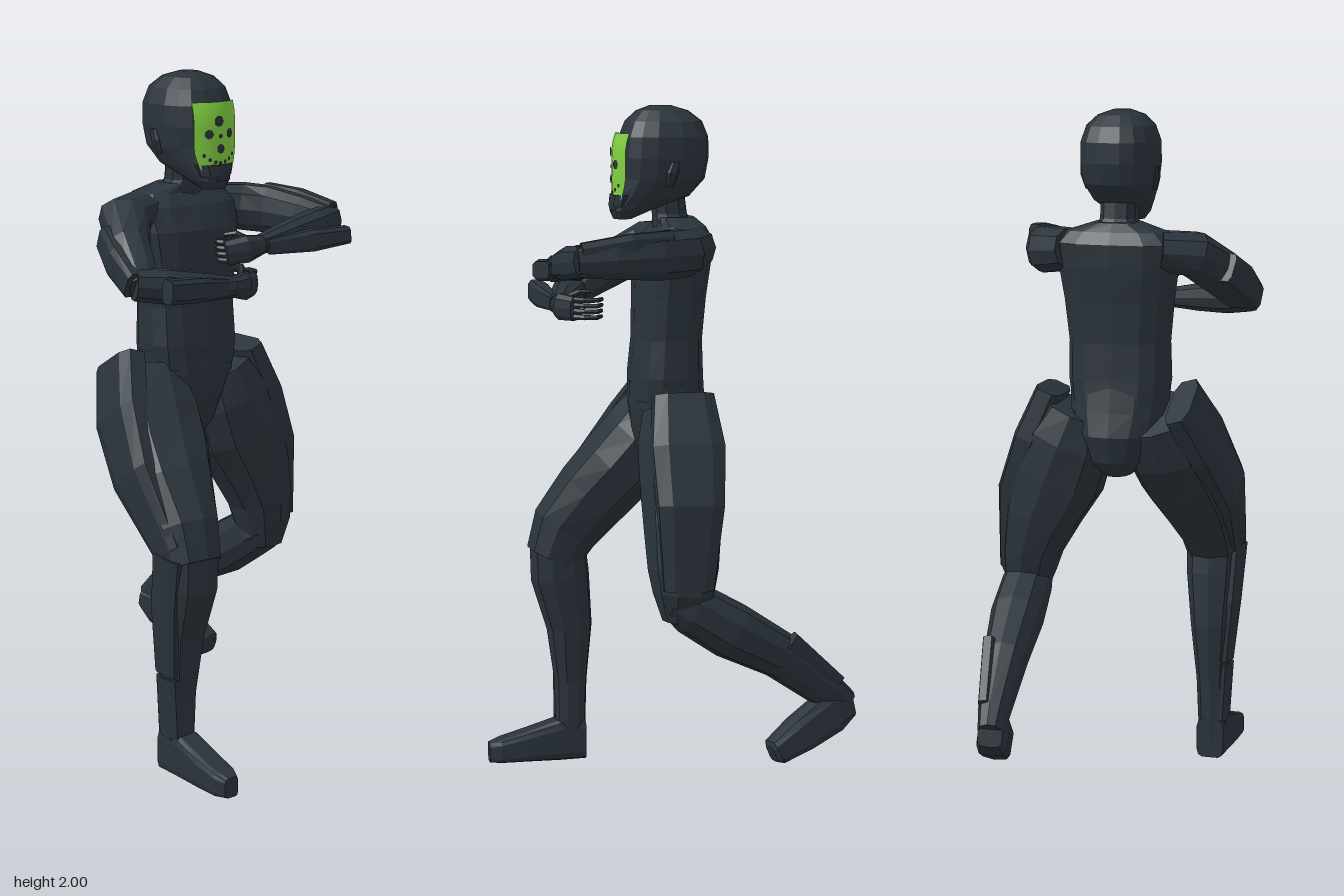
import * as THREE from 'three';

const suit = new THREE.MeshStandardMaterial({ color: 0x2a333b, flatShading: true });
suit.name = 'dark suit';
const green = new THREE.MeshStandardMaterial({ color: 0x82cf42, side: THREE.DoubleSide });
green.name = 'visor green';

const V = (a) => new THREE.Vector3(a[0], a[1], a[2]);
const X = [1, 0, 0], Y = [0, 1, 0], Z = [0, 0, 1];

// Closed skin over rounded sections [x, y, z, half size along ref, half size across]
function loft(name, rows, ref, { sides = 10, power = 2.3, dir = null } = {}) {
  const pos = [], idx = [], n = rows.length;
  const round = (c) => Math.sign(c) * Math.pow(Math.abs(c), 2 / power);
  rows.forEach((row, j) => {
    const c = V(row);
    const t = dir ? V(dir) : V(rows[Math.min(j + 1, n - 1)]).sub(V(rows[Math.max(j - 1, 0)])).normalize();
    const u = V(ref).addScaledVector(t, -V(ref).dot(t)).normalize();
    const v = t.clone().cross(u);
    for (let i = 0; i < sides; i++) {
      const a = ((i + 0.5) / sides) * Math.PI * 2;
      const p = c.clone().addScaledVector(u, row[3] * round(Math.cos(a))).addScaledVector(v, row[4] * round(Math.sin(a)));
      pos.push(p.x, p.y, p.z);
    }
  });
  for (let j = 0; j < n - 1; j++) {
    for (let i = 0; i < sides; i++) {
      const k = (i + 1) % sides, a = j * sides, b = a + sides;
      idx.push(a + i, a + k, b + k, a + i, b + k, b + i);
    }
  }
  const first = n * sides, last = (n - 1) * sides;
  pos.push(...rows[0].slice(0, 3), ...rows[n - 1].slice(0, 3));
  for (let i = 0; i < sides; i++) {
    const k = (i + 1) % sides;
    idx.push(first, k, i, first + 1, last + i, last + k);
  }
  const g = new THREE.BufferGeometry();
  g.setAttribute('position', new THREE.Float32BufferAttribute(pos, 3));
  g.setIndex(idx);
  g.computeVertexNormals();
  const mesh = new THREE.Mesh(g, suit);
  mesh.name = name;
  return mesh;
}

// Four bent fingers, stacked in height
function fingers(name, path, y, step) {
  const group = new THREE.Group();
  group.name = name;
  for (let i = 0; i < 4; i++) {
    const pts = path.map(([x, z], j) => [x - (j ? i * step : 0), y - i * 0.017, z, 0.009 - j * 0.001, 0.01 - j * 0.0015]);
    group.add(loft('finger', pts, Y, { sides: 6 }));
  }
  return group;
}

// Depth of the curved face plate
const visorZ = (x, y) => 0.169 - 4.4 * x * x - 3 * Math.max(0, y - 1.86) ** 2;

function makeHead() {
  const head = new THREE.Group();
  head.name = 'head';
  head.add(loft('hood', [
    [0, 1.675, 0.14, 0.035, 0.025], [0, 1.7, 0.115, 0.058, 0.06], [0, 1.74, 0.055, 0.083, 0.11],
    [0, 1.79, 0.025, 0.104, 0.125], [0, 1.85, 0.02, 0.113, 0.131], [0, 1.91, 0.018, 0.112, 0.128],
    [0, 1.955, 0.018, 0.097, 0.11], [0, 1.985, 0.022, 0.066, 0.075], [0, 2.0, 0.027, 0.025, 0.03],
  ], X, { sides: 16, power: 2.6, dir: Y }));
  head.add(loft('chinGuard', [
    [0, 1.685, 0.14, 0.038, 0.03], [0, 1.715, 0.137, 0.058, 0.043], [0, 1.745, 0.13, 0.068, 0.046],
  ], X, { dir: Y }));
  for (const s of [-1, 1]) {
    head.add(loft('earPiece', [
      [s * 0.1, 1.77, 0.02, 0.008, 0.01], [s * 0.109, 1.81, 0.012, 0.01, 0.018], [s * 0.112, 1.84, 0.005, 0.006, 0.012],
    ], X, { sides: 6, dir: Y }));
  }
  // Curved face plate, narrowing to the chin
  const plate = new THREE.PlaneGeometry(0.15, 0.19, 8, 8);
  const p = plate.attributes.position;
  for (let i = 0; i < p.count; i++) {
    const y = p.getY(i) + 1.826;
    const x = p.getX(i) * (1 - 0.25 * Math.max(0, (1.8 - y) / 0.07) ** 2);
    p.setXYZ(i, x, y, visorZ(x, y));
  }
  plate.computeVertexNormals();
  const visor = new THREE.Mesh(plate, green);
  visor.name = 'visor';
  head.add(visor);
  // Dark openings in the face plate
  const spots = [[-0.006, 1.868, 0.016], [-0.037, 1.832, 0.014], [0.036, 1.832, 0.014], [0, 1.826, 0.007], [0, 1.79, 0.014]];
  for (let i = -3; i <= 3; i++) spots.push([i * 0.017, 1.75 + 0.0025 * i * i, 0.006]);
  for (const [x, y, r] of spots) {
    const spot = new THREE.Mesh(new THREE.CircleGeometry(r, 7), suit);
    spot.position.set(x, y, visorZ(x, y) + 0.003);
    spot.rotation.y = Math.atan(8.8 * x);
    spot.name = 'visorSpot';
    head.add(spot);
  }
  return head;
}

export function createModel() {
  const model = new THREE.Group();
  model.name = 'fighter';
  const add = (...args) => model.add(loft(...args));

  // Trunk
  add('torso', [
    [0, 1.15, 0.012, 0.14, 0.108], [0, 1.22, 0.014, 0.15, 0.104], [0, 1.33, 0.01, 0.148, 0.096],
    [0, 1.45, 0.004, 0.16, 0.1], [0, 1.55, -0.004, 0.175, 0.105], [0, 1.62, -0.02, 0.185, 0.092],
    [0, 1.655, -0.025, 0.15, 0.07], [0, 1.68, -0.015, 0.07, 0.055],
  ], X, { sides: 14, power: 2.8, dir: Y });
  add('pelvis', [
    [0, 0.935, 0.0, 0.04, 0.065], [0, 0.98, -0.005, 0.085, 0.098], [0, 1.06, -0.005, 0.125, 0.118],
    [0, 1.13, 0.008, 0.145, 0.114], [0, 1.2, 0.014, 0.149, 0.106],
  ], X, { sides: 14, dir: Y });
  add('neck', [[0, 1.64, -0.01, 0.075, 0.06], [0, 1.69, 0, 0.055, 0.052], [0, 1.78, 0.01, 0.055, 0.05]], X, { dir: Y });
  model.add(makeHead());

  // Right leg, stepping forward
  add('rightThigh', [
    [-0.12, 1.12, -0.015, 0.1, 0.105], [-0.148, 1.02, 0.045, 0.138, 0.125], [-0.175, 0.93, 0.115, 0.145, 0.125],
    [-0.2, 0.84, 0.19, 0.128, 0.12], [-0.217, 0.73, 0.275, 0.1, 0.108], [-0.22, 0.64, 0.315, 0.088, 0.085],
  ], X);
  add('rightThighPanel', [
    [-0.2, 1.165, -0.04, 0.042, 0.1], [-0.255, 1.03, 0.04, 0.045, 0.11],
    [-0.29, 0.88, 0.155, 0.045, 0.095], [-0.275, 0.68, 0.3, 0.035, 0.06],
  ], X, { sides: 8, power: 3.5 });
  add('rightShin', [
    [-0.22, 0.68, 0.3, 0.088, 0.085], [-0.22, 0.58, 0.293, 0.085, 0.09], [-0.222, 0.42, 0.265, 0.067, 0.07],
    [-0.224, 0.25, 0.262, 0.05, 0.05], [-0.226, 0.05, 0.263, 0.043, 0.045],
  ], X);
  add('rightShinPanel', [
    [-0.285, 0.675, 0.3, 0.028, 0.06], [-0.278, 0.5, 0.275, 0.024, 0.055], [-0.265, 0.31, 0.263, 0.018, 0.045],
  ], X, { sides: 8, power: 3.5 });
  add('rightAnkleGuard', [[-0.258, 0.3, 0.265, 0.025, 0.045], [-0.25, 0.12, 0.265, 0.022, 0.045]], X, { sides: 8, power: 4 });
  add('rightFoot', [
    [-0.226, 0.065, 0.22, 0.043, 0.062], [-0.226, 0.066, 0.3, 0.045, 0.064],
    [-0.23, 0.05, 0.4, 0.044, 0.048], [-0.232, 0.038, 0.48, 0.04, 0.037], [-0.232, 0.033, 0.515, 0.024, 0.03],
  ], X, { sides: 12, power: 5, dir: Z });

  // Left leg, knee bent and foot kicked back
  add('leftThigh', [
    [0.12, 1.12, 0, 0.1, 0.105], [0.155, 1.03, 0.005, 0.138, 0.122], [0.2, 0.92, 0.01, 0.15, 0.12],
    [0.248, 0.8, 0.015, 0.122, 0.114], [0.28, 0.69, 0.02, 0.092, 0.104],
    [0.29, 0.62, 0.022, 0.08, 0.09], [0.293, 0.54, 0.035, 0.05, 0.05],
  ], X);
  add('leftThighPanel', [
    [0.205, 1.18, 0.005, 0.04, 0.09], [0.265, 1.04, 0.005, 0.045, 0.11],
    [0.32, 0.88, 0.01, 0.045, 0.1], [0.338, 0.64, 0.02, 0.032, 0.075],
  ], X, { sides: 8, power: 3.5 });
  add('leftShin', [
    [0.292, 0.605, 0.06, 0.062, 0.05], [0.29, 0.58, 0.0, 0.074, 0.078], [0.282, 0.505, -0.12, 0.078, 0.084],
    [0.266, 0.42, -0.27, 0.064, 0.07], [0.25, 0.3, -0.42, 0.045, 0.055], [0.242, 0.255, -0.475, 0.036, 0.045],
  ], X);
  add('leftAnkleGuard', [[0.308, 0.45, -0.27, 0.02, 0.06], [0.27, 0.31, -0.43, 0.018, 0.05]], X, { sides: 8, power: 4 });
  add('leftFoot', [
    [0.238, 0.252, -0.492, 0.036, 0.032], [0.25, 0.238, -0.43, 0.046, 0.064],
    [0.275, 0.182, -0.33, 0.046, 0.054], [0.298, 0.139, -0.25, 0.038, 0.038], [0.3, 0.135, -0.24, 0.028, 0.026],
  ], X, { power: 4 });

  // Right arm, folded low across the chest
  add('rightUpperArm', [
    [-0.13, 1.6, -0.025, 0.06, 0.08], [-0.22, 1.59, 0.01, 0.068, 0.075], [-0.28, 1.525, 0.11, 0.068, 0.062],
    [-0.315, 1.46, 0.2, 0.055, 0.055], [-0.325, 1.44, 0.235, 0.035, 0.04],
  ], Y);
  add('rightArmPanel', [[-0.312, 1.55, 0.045, 0.045, 0.024], [-0.338, 1.5, 0.13, 0.05, 0.028], [-0.35, 1.445, 0.225, 0.042, 0.026]], Y, { sides: 8, power: 4 });
  add('rightForearm', [
    [-0.345, 1.445, 0.22, 0.045, 0.045], [-0.27, 1.438, 0.25, 0.05, 0.052],
    [-0.17, 1.43, 0.285, 0.043, 0.042], [-0.07, 1.422, 0.315, 0.03, 0.03],
  ], Y);
  add('rightForearmFin', [[-0.325, 1.44, 0.343, 0.035, 0.024], [-0.22, 1.435, 0.34, 0.035, 0.028], [-0.1, 1.425, 0.325, 0.025, 0.012]], Y, { sides: 8, power: 4 });
  add('rightHand', [[-0.08, 1.422, 0.315, 0.028, 0.025], [-0.03, 1.42, 0.315, 0.04, 0.026], [0.025, 1.418, 0.285, 0.036, 0.018]], Y);
  model.add(fingers('rightFingers', [[0.02, 0.285], [0.055, 0.26], [0.062, 0.225], [0.025, 0.205]], 1.445, 0.004));
  add('rightThumb', [[-0.03, 1.445, 0.3, 0.01, 0.012], [0, 1.465, 0.265, 0.009, 0.01], [0.005, 1.465, 0.235, 0.006, 0.007]], Y, { sides: 6 });

  // Left arm, raised level in front
  add('leftUpperArm', [
    [0.13, 1.6, -0.04, 0.06, 0.07], [0.215, 1.59, 0.01, 0.07, 0.075], [0.26, 1.585, 0.09, 0.07, 0.055],
    [0.277, 1.58, 0.22, 0.058, 0.05], [0.28, 1.575, 0.325, 0.046, 0.043],
  ], Y);
  add('leftArmPanel', [[0.275, 1.615, 0.05, 0.045, 0.02], [0.297, 1.605, 0.17, 0.048, 0.022], [0.3, 1.585, 0.31, 0.045, 0.02]], Y, { sides: 8, power: 4 });
  add('leftForearm', [
    [0.305, 1.577, 0.305, 0.045, 0.035], [0.22, 1.567, 0.325, 0.05, 0.046],
    [0.12, 1.553, 0.332, 0.042, 0.042], [0.01, 1.538, 0.337, 0.027, 0.028],
  ], Y);
  add('leftForearmFin', [[0.26, 1.552, 0.422, 0.025, 0.024], [0.15, 1.543, 0.395, 0.032, 0.022], [0.02, 1.532, 0.36, 0.022, 0.01]], Y, { sides: 8, power: 4 });
  add('leftHand', [[0.02, 1.538, 0.337, 0.026, 0.025], [-0.04, 1.53, 0.335, 0.04, 0.025], [-0.095, 1.52, 0.312, 0.036, 0.018]], Y);
  model.add(fingers('leftFingers', [[-0.085, 0.31], [-0.1, 0.285], [-0.088, 0.262], [-0.05, 0.255]], 1.548, -0.002));
  add('leftThumb', [[-0.02, 1.55, 0.325, 0.01, 0.012], [-0.05, 1.57, 0.3, 0.009, 0.01], [-0.07, 1.565, 0.275, 0.006, 0.007]], Y, { sides: 6 });

  return model;
}
